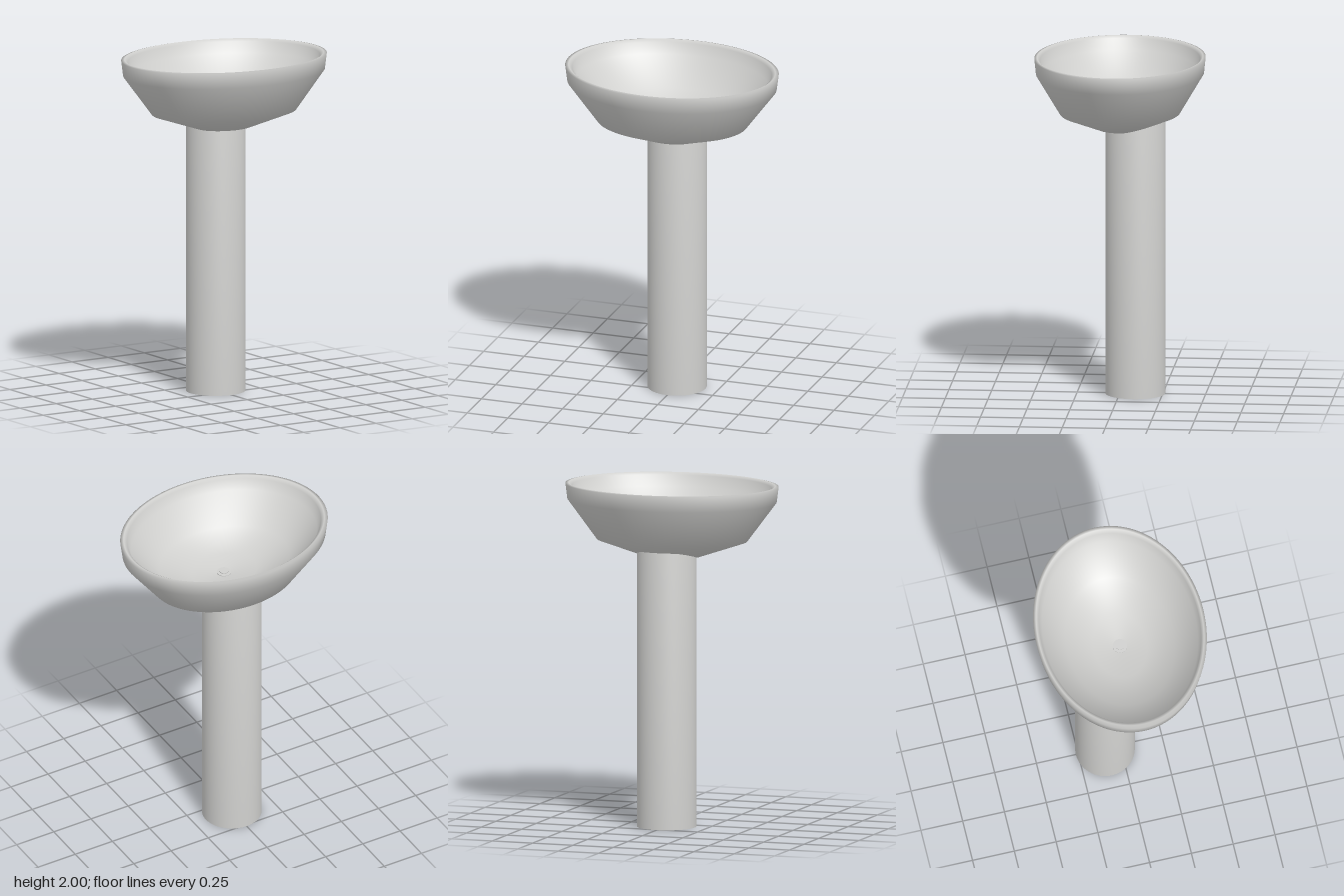
import * as THREE from 'three';

export function createModel() {
  const model = new THREE.Group();
  model.name = 'pedestalBasin';
  const ceramic = new THREE.MeshStandardMaterial({ color: 0xd0d0ce });
  ceramic.name = 'grey ceramic';

  const add = (name, geometry, y = 0, z = 0) => {
    const mesh = new THREE.Mesh(geometry, ceramic);
    mesh.name = name;
    mesh.position.set(0, y, z);
    model.add(mesh);
    return mesh;
  };
  const lathe = (points, segments) =>
    new THREE.LatheGeometry(points.map(([r, y]) => new THREE.Vector2(r, y)), segments);

  // Oval bowl: outer wall up, over the thick soft rim, then down the inside to the centre
  const bowl = lathe([
    [0.176, 1.581], [0.45, 1.674], [0.624, 1.905], [0.636, 1.996], [0.615, 2.0],
    [0.594, 1.985], [0.57, 1.92], [0.4, 1.76], [0.2, 1.692], [0, 1.677],
  ], 96);
  bowl.scale(1, 1, 0.783);
  add('bowl', bowl);

  // Round column with a softly shaded top, set slightly back under the bowl
  add('column', lathe([[0.174, 0], [0.174, 1.626], [0, 1.626]], 64), 0, -0.09);
  add('columnBase', new THREE.CircleGeometry(0.174, 64), 0, -0.09).rotation.x = Math.PI / 2;

  // Drain ring and its plug
  add('drainRing', new THREE.CylinderGeometry(0.042, 0.042, 0.012, 32), 1.679);
  add('drainPlug', new THREE.CylinderGeometry(0.025, 0.025, 0.008, 32), 1.687);

  return model;
}
